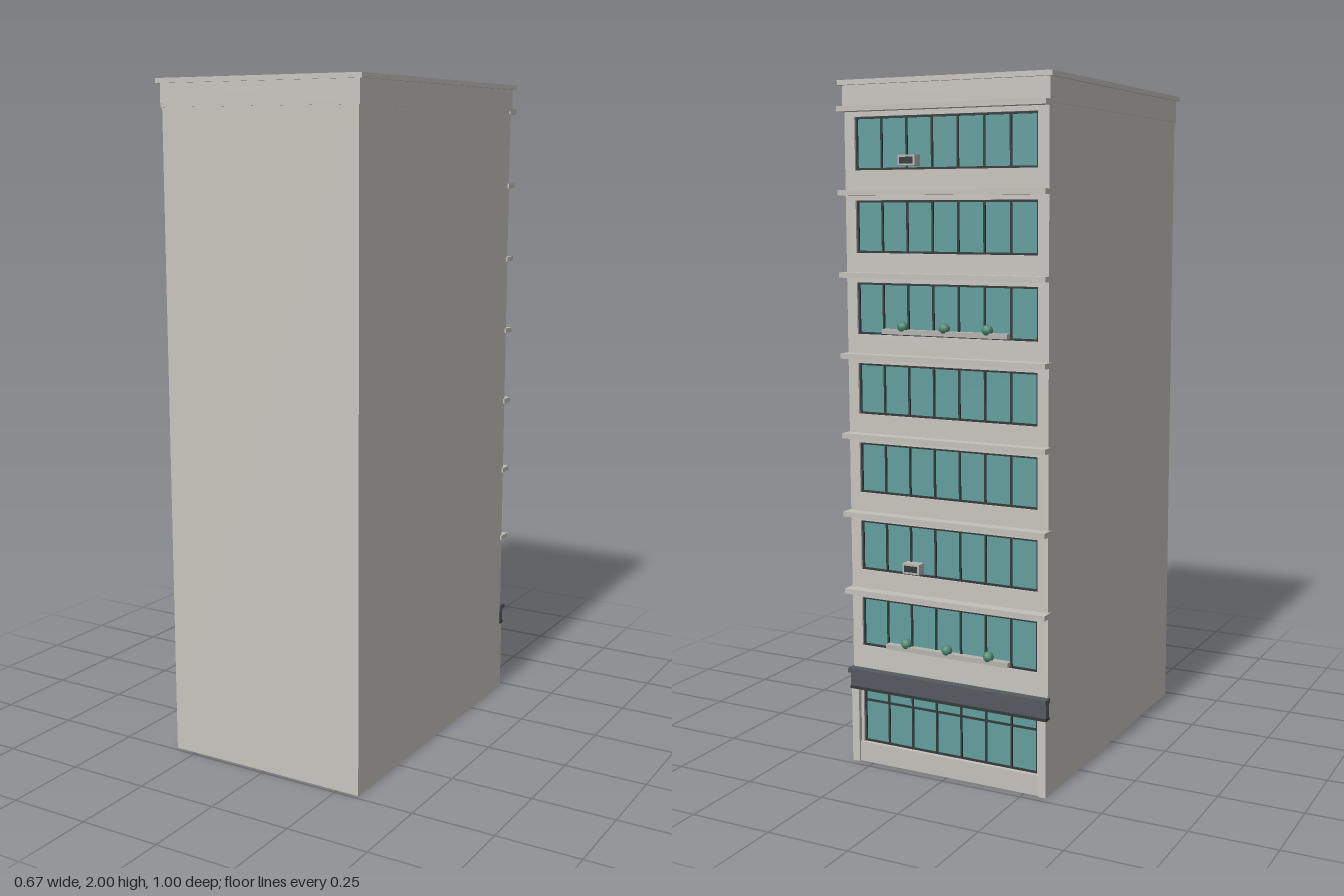
import * as THREE from 'three';

const mat = (name, color) => {
  const m = new THREE.MeshStandardMaterial({ color });
  m.name = name;
  return m;
};

export function createModel() {
  const model = new THREE.Group();
  model.name = 'officeBuilding';
  const wall = mat('pale concrete', 0xc8c5be);
  const trim = mat('ledge stone', 0xc3c0b9);
  const glass = mat('teal glass', 0x629e9d);
  const frame = mat('dark frame', 0x33393b);
  const slate = mat('slate fascia', 0x555a60);
  const metal = mat('unit grey', 0xb5b3ae);
  const leaf = mat('plant green', 0x4f8a70);

  const add = (parent, name, geo, material) => {
    const mesh = new THREE.Mesh(geo, material);
    mesh.name = name;
    parent.add(mesh);
    return mesh;
  };
  // Box given by its minimum and maximum on each axis
  const box = (parent, name, material, x0, x1, y0, y1, z0, z1) => {
    const mesh = add(parent, name, new THREE.BoxGeometry(x1 - x0, y1 - y0, z1 - z0), material);
    mesh.position.set((x0 + x1) / 2, (y0 + y1) / 2, (z0 + z1) / 2);
    return mesh;
  };
  const rect = (Type, x0, x1, y0, y1) => {
    const p = new Type();
    p.moveTo(x0, y0);
    p.lineTo(x1, y0);
    p.lineTo(x1, y1);
    p.lineTo(x0, y1);
    p.closePath();
    return p;
  };

  const W = 0.32, FRONT = 0.487, BACK = -0.465, GLASS = -0.453, ROOF = 1.92;
  const STEP = 0.232, FLOORS = 7, WIN = 0.287;
  const ledgeY = (i) => ROOF - i * STEP;

  // Main block
  box(model, 'mainBlock', wall, -W, W, 0, ROOF, GLASS + 0.003, FRONT);

  // Facade wall with an opening for every storey
  const facade = rect(THREE.Shape, -W, W, 0, ROOF);
  for (let i = 0; i < FLOORS; i++) {
    facade.holes.push(rect(THREE.Path, -WIN, WIN, ledgeY(i) - 0.17, ledgeY(i) - 0.022));
  }
  facade.holes.push(rect(THREE.Path, -WIN, WIN, 0.06, 0.235));
  const depth = GLASS + 0.003 - BACK;
  add(model, 'facadeWall', new THREE.ExtrudeGeometry(facade, { depth, bevelEnabled: false }), wall)
    .position.z = BACK;

  // Parapet ring and its overhanging coping
  const ring = (name, x, z0, z1, y0, y1) => {
    const s = rect(THREE.Shape, -x, x, -z1, -z0);
    s.holes.push(rect(THREE.Path, -0.283, 0.283, -0.447, 0.427));
    const geo = new THREE.ExtrudeGeometry(s, { depth: y1 - y0, bevelEnabled: false });
    geo.rotateX(-Math.PI / 2);
    add(model, name, geo, wall).position.y = y0;
  };
  ring('parapet', 0.324, -0.469, 0.49, ROOF, 1.986);
  ring('coping', 0.334, -0.479, 0.498, 1.986, 2);

  // Glazing strip with surrounding frame and mullions
  const glazing = (name, y0, y1) => {
    const g = new THREE.Group();
    g.name = name;
    model.add(g);
    box(g, 'pane', glass, -WIN, WIN, y0, y1, GLASS - 0.002, GLASS + 0.003);
    const zf = GLASS - 0.006;
    for (let k = 0; k <= 7; k++) {
      const x = -WIN + 0.003 + (k / 7) * (2 * WIN - 0.006);
      box(g, 'mullion', frame, x - 0.003, x + 0.003, y0, y1, zf, GLASS);
    }
    box(g, 'headRail', frame, -WIN, WIN, y1 - 0.006, y1, zf, GLASS);
    box(g, 'bottomRail', frame, -WIN, WIN, y0, y0 + 0.006, zf, GLASS);
    return g;
  };

  for (let i = 0; i < FLOORS; i++) {
    const y = ledgeY(i);
    glazing('windowStrip', y - 0.17, y - 0.022);
    // Projecting ledge above each window strip
    box(model, 'ledge', trim, -0.325, 0.325, y - 0.008, y + 0.007, -0.499, BACK + 0.01);
  }

  // Air conditioning units on two storeys
  for (const i of [0, 5]) {
    const y = ledgeY(i) - 0.16;
    box(model, 'airUnit', metal, 0.08, 0.135, y, y + 0.03, -0.485, GLASS);
    box(model, 'airUnitGrille', frame, 0.086, 0.129, y + 0.006, y + 0.024, -0.487, -0.484);
  }

  // Window planters with small shrubs on two storeys
  for (const i of [2, 6]) {
    const y = ledgeY(i) - 0.166;
    box(model, 'planter', metal, -0.2, 0.2, y, y + 0.014, -0.476, GLASS);
    for (const x of [-0.135, 0, 0.135]) {
      add(model, 'shrub', new THREE.IcosahedronGeometry(0.016, 1), leaf)
        .position.set(x, y + 0.022, -0.468);
    }
  }

  // Ground floor shopfront
  const shop = glazing('shopfront', 0.06, 0.235);
  box(shop, 'transom', frame, -WIN, WIN, 0.186, 0.192, GLASS - 0.006, GLASS);
  box(model, 'shopPlinth', trim, -0.296, 0.296, 0, 0.06, -0.472, BACK + 0.005);
  for (const s of [-1, 1]) {
    const x = s * 0.308;
    box(model, 'shopPier', wall, x - 0.012, x + 0.012, 0, 0.235, -0.478, BACK + 0.005);
  }

  // Dark fascia band and its cap over the shopfront
  box(model, 'fascia', slate, -0.322, 0.322, 0.228, 0.278, -0.48, BACK + 0.005);
  box(model, 'fasciaCap', slate, -0.325, 0.325, 0.276, 0.29, -0.49, BACK + 0.005);
  box(model, 'fasciaFoot', frame, -0.323, 0.323, 0.226, 0.234, -0.483, BACK + 0.005);

  return model;
}
